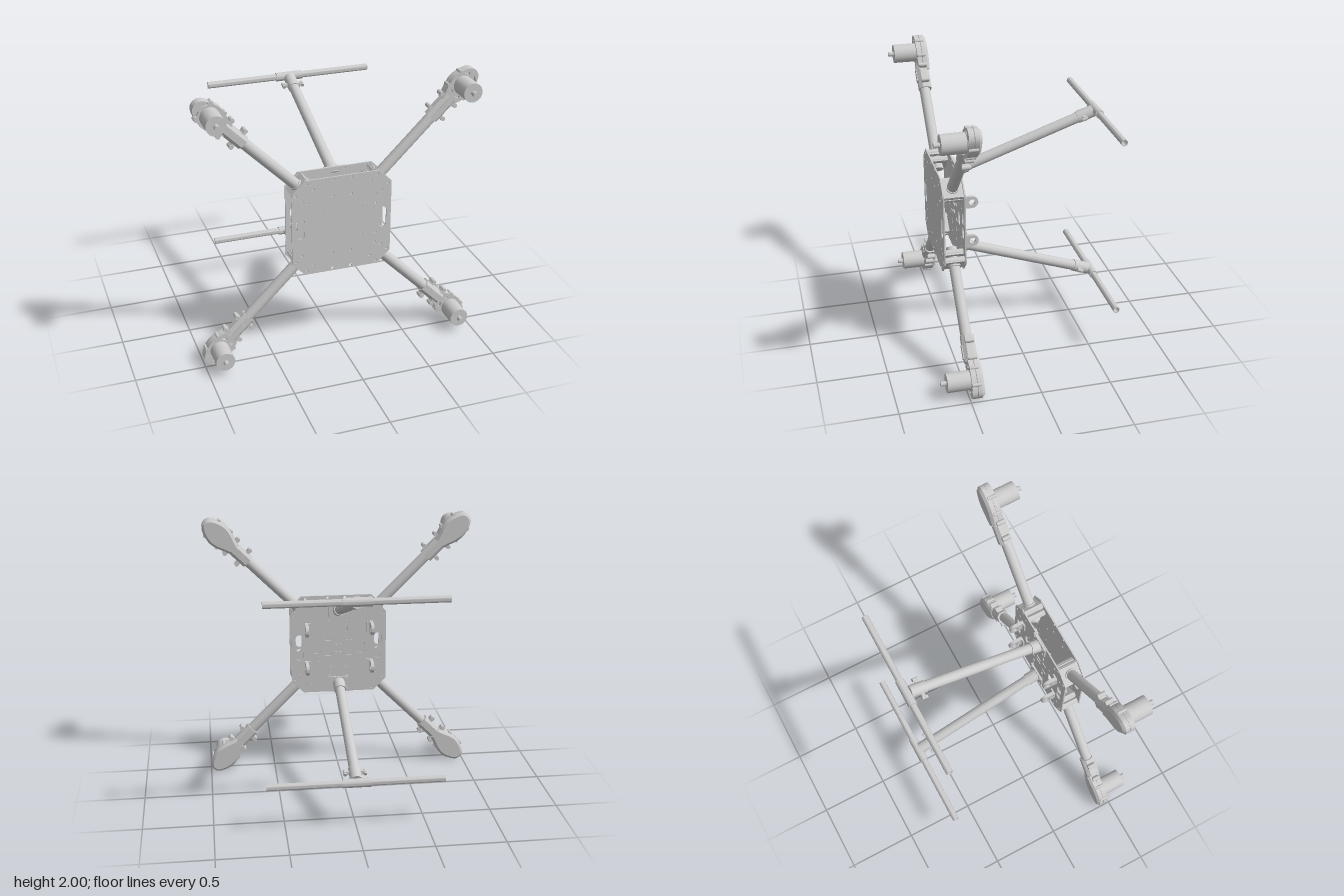
import * as THREE from 'three';
import { toCreasedNormals } from 'three/addons/utils/BufferGeometryUtils.js';

const mat = new THREE.MeshStandardMaterial({ color: 0xcccccc });
const V = (x, y, z) => new THREE.Vector3(x, y, z);

function add(parent, name, geo, x = 0, y = 0, z = 0) {
  const m = new THREE.Mesh(geo, mat);
  m.name = name;
  m.position.set(x, y, z);
  parent.add(m);
  return m;
}

// Extrusion along +z with crisp edges; the bevel stays inside the outline
function slab(shape, depth, bevel = 0) {
  const g = new THREE.ExtrudeGeometry(shape, {
    depth: depth - 2 * bevel, bevelEnabled: bevel > 0, bevelSize: bevel, bevelThickness: bevel,
    bevelOffset: -bevel, bevelSegments: 1, curveSegments: 16,
  });
  g.translate(0, 0, bevel);
  return toCreasedNormals(g, 0.6);
}

const circle = (x, y, r) => new THREE.Path().absarc(x, y, r, 0, Math.PI * 2, false);

// Slot with round ends, half length h between arc centres
function slot(x, y, h, r, vertical = true) {
  const p = new THREE.Path();
  if (vertical) {
    p.absarc(x, y + h, r, 0, Math.PI, false);
    p.absarc(x, y - h, r, Math.PI, Math.PI * 2, false);
  } else {
    p.absarc(x + h, y, r, -Math.PI / 2, Math.PI / 2, false);
    p.absarc(x - h, y, r, Math.PI / 2, Math.PI * 1.5, false);
  }
  p.closePath();
  return p;
}

// Solid rod between two points
function rod(parent, name, a, b, r, sides = 28) {
  const d = b.clone().sub(a);
  const m = add(parent, name, new THREE.CylinderGeometry(r, r, d.length(), sides));
  m.position.copy(a).addScaledVector(d, 0.5);
  m.quaternion.setFromUnitVectors(V(0, 1, 0), d.normalize());
  return m;
}

// Open pipe along x, centred
function pipe(parent, name, ro, ri, len, y, z) {
  const s = new THREE.Shape().absarc(0, 0, ro, 0, Math.PI * 2, false);
  s.holes.push(circle(0, 0, ri));
  const m = add(parent, name, slab(s, len), -len / 2, y, z);
  m.rotation.y = Math.PI / 2;
}

// Square plate with cut corners and bolt holes
function plate(extra) {
  const s = new THREE.Shape(), a = 0.362, c = 0.27;
  [[c, a], [-c, a], [-a, c], [-a, -c], [-c, -a], [c, -a], [a, -c], [a, c]]
    .forEach(([x, y], i) => (i ? s.lineTo(x, y) : s.moveTo(x, y)));
  s.closePath();
  const holes = [[0.336, 0.255], [0.255, 0.336], [0.29, 0.21], [0.21, 0.29],
    [0.067, 0.22], [0.067, 0.345], [0.25, 0.19], [0.25, 0.115], [0.147, 0.107]];
  for (const sx of [1, -1]) for (const sy of [1, -1])
    holes.forEach(([x, y], i) => s.holes.push(circle(sx * x, sy * y, i < 6 ? 0.01 : 0.007)));
  s.holes.push(...extra);
  return slab(s, 0.01);
}

// Teardrop outline of the motor housing, u along the arm
function housingShape() {
  const half = [[1.09, 0.045], [1.13, 0.058], [1.19, 0.08], [1.25, 0.089], [1.31, 0.077], [1.365, 0.05], [1.387, 0.018]];
  const right = half.map(([u, v]) => new THREE.Vector2(u, -v));
  const left = half.map(([u, v]) => new THREE.Vector2(u, v)).reverse();
  const s = new THREE.Shape().moveTo(1.09, -0.045);
  s.splineThru([...right.slice(1), ...left]);
  s.closePath();
  return s;
}

function arcSlot(a0, a1) {
  const p = new THREE.Path();
  p.absarc(1.256, 0, 0.098, a0, a1, false);
  p.absarc(1.256, 0, 0.082, a1, a0, true);
  p.closePath();
  return p;
}

function arm() {
  const g = new THREE.Group();
  g.name = 'arm';
  rod(g, 'armTube', V(0.3, 0, 0.46), V(1.0, 0, 0.46), 0.039);
  rod(g, 'armCollar', V(0.4, 0, 0.46), V(0.445, 0, 0.46), 0.046);
  // Root clamp between the plates
  for (const side of [1, -1]) {
    add(g, 'rootClampHalf', new THREE.BoxGeometry(0.04, 0.15, 0.138), 0.385 + side * 0.028, 0, 0.46);
    for (const u of [0.355, 0.415])
      rod(g, 'clampPost', V(u, side * 0.06, 0.39), V(u, side * 0.06, 0.53), 0.018, 16);
  }
  // Neck gripping the tube end
  const n = new THREE.Shape();
  [[0.048, 0.022], [0.025, 0.046], [-0.025, 0.046], [-0.048, 0.022], [-0.048, -0.022], [-0.025, -0.046], [0.025, -0.046], [0.048, -0.022]]
    .forEach(([x, y], i) => (i ? n.lineTo(x, y) : n.moveTo(x, y)));
  n.closePath();
  const neck = add(g, 'neck', slab(n, 0.19), 0.945, 0, 0.455);
  neck.rotation.set(Math.PI / 2, Math.PI / 2, 0);
  add(g, 'neckRib', new THREE.BoxGeometry(0.1, 0.04, 0.02), 1.06, 0, 0.497);
  for (const u of [0.995, 1.115]) for (const side of [1, -1]) {
    add(g, 'clampEar', new THREE.BoxGeometry(0.028, 0.035, 0.05), u, side * 0.052, 0.455);
    rod(g, 'clampBolt', V(u, side * 0.07, 0.425), V(u, side * 0.07, 0.485), 0.016, 14);
  }
  // Housing: bevelled base, slotted rim, motor
  add(g, 'motorHousing', slab(housingShape(), 0.065, 0.018), 0, 0, 0.4);
  const rim = housingShape();
  rim.holes.push(arcSlot(0.2, 0.68), arcSlot(-0.68, -0.2), arcSlot(2.6, 3.0), arcSlot(-3.0, -2.6));
  add(g, 'housingRim', slab(rim, 0.035), 0, 0, 0.452);
  for (const [u, v] of [[1.31, 0.077], [1.19, 0.08]]) for (const side of [1, -1])
    rod(g, 'rimBolt', V(u, side * v, 0.425), V(u, side * v, 0.487), 0.012, 12);
  rod(g, 'motor', V(1.256, 0, 0.46), V(1.256, 0, 0.65), 0.068, 36);
  rod(g, 'motorShaft', V(1.256, 0, 0.64), V(1.256, 0, 0.69), 0.017, 18);
  return g;
}

function leg() {
  const g = new THREE.Group();
  g.name = 'landingLeg';
  const a = V(0, 0.29, 0.38), b = V(0, 0.655, -0.66);
  const at = t => a.clone().lerp(b, t);
  // Mounting foot on the back plate
  add(g, 'legFoot', new THREE.BoxGeometry(0.16, 0.12, 0.014), 0, 0.3, 0.374);
  for (const x of [0.06, -0.06]) for (const y of [0.26, 0.34])
    rod(g, 'footBolt', V(x, y, 0.362), V(x, y, 0.37), 0.01, 12);
  rod(g, 'legSocket', at(0.0), at(0.085), 0.046);
  rod(g, 'legTube', at(0.02), at(0.95), 0.038);
  // T joint carrying the crossbar
  rod(g, 'jointSleeve', at(0.87), at(0.98), 0.044);
  for (const x of [0.055, -0.055]) {
    const ear = add(g, 'jointEar', new THREE.BoxGeometry(0.045, 0.026, 0.026));
    ear.position.copy(at(0.905)).setX(x);
    rod(g, 'jointBolt', at(0.885).setX(x * 1.3), at(0.925).setX(x * 1.3), 0.013, 12);
  }
  pipe(g, 'jointCrossSleeve', 0.032, 0.02, 0.2, b.y, b.z);
  pipe(g, 'crossbar', 0.024, 0.018, 1.256, b.y, b.z);
  return g;
}

export function createModel() {
  const model = new THREE.Group();
  model.name = 'quadcopterFrame';
  model.position.y = 1;

  // Front and back plates
  add(model, 'frontPlate', plate([slot(0.3, 0, 0.048, 0.029), slot(-0.3, 0, 0.048, 0.029)]), 0, 0, 0.53);
  const cuts = [slot(0, 0.03, 0.02, 0.012, false), slot(0, -0.03, 0.02, 0.012, false)];
  for (const sx of [1, -1]) {
    cuts.push(slot(sx * 0.3, 0.055, 0.018, 0.028), slot(sx * 0.3, -0.055, 0.018, 0.028));
    cuts.push(slot(sx * 0.17, 0, 0.025, 0.03));
    for (const sy of [1, -1])
      cuts.push(slot(sx * 0.08, sy * 0.06, 0.018, 0.009, false), slot(sx * 0.06, sy * 0.14, 0.015, 0.009));
  }
  add(model, 'backPlate', plate(cuts), 0, 0, 0.38);

  for (let i = 0; i < 4; i++) {
    const g = arm();
    g.rotation.z = Math.PI / 4 + i * Math.PI / 2;
    model.add(g);
  }
  for (let i = 0; i < 2; i++) {
    const g = leg();
    g.rotation.z = i * Math.PI;
    model.add(g);
  }

  // Mounting lugs behind the back plate
  const lug = new THREE.Shape().moveTo(0, -0.044);
  lug.lineTo(0.068, -0.044);
  lug.absarc(0.068, 0, 0.044, -Math.PI / 2, Math.PI / 2, false);
  lug.lineTo(0, 0.044);
  lug.closePath();
  lug.holes.push(circle(0.068, 0, 0.022));
  const lugGeo = slab(lug, 0.024);
  for (const x of [0.247, -0.247]) for (const y of [0.152, -0.152]) {
    add(model, 'lug', lugGeo, x - 0.012, y, 0.38).rotation.y = Math.PI / 2;
    add(model, 'lugBase', new THREE.BoxGeometry(0.05, 0.088, 0.012), x - Math.sign(x) * 0.012, y, 0.375);
  }
  return model;
}
